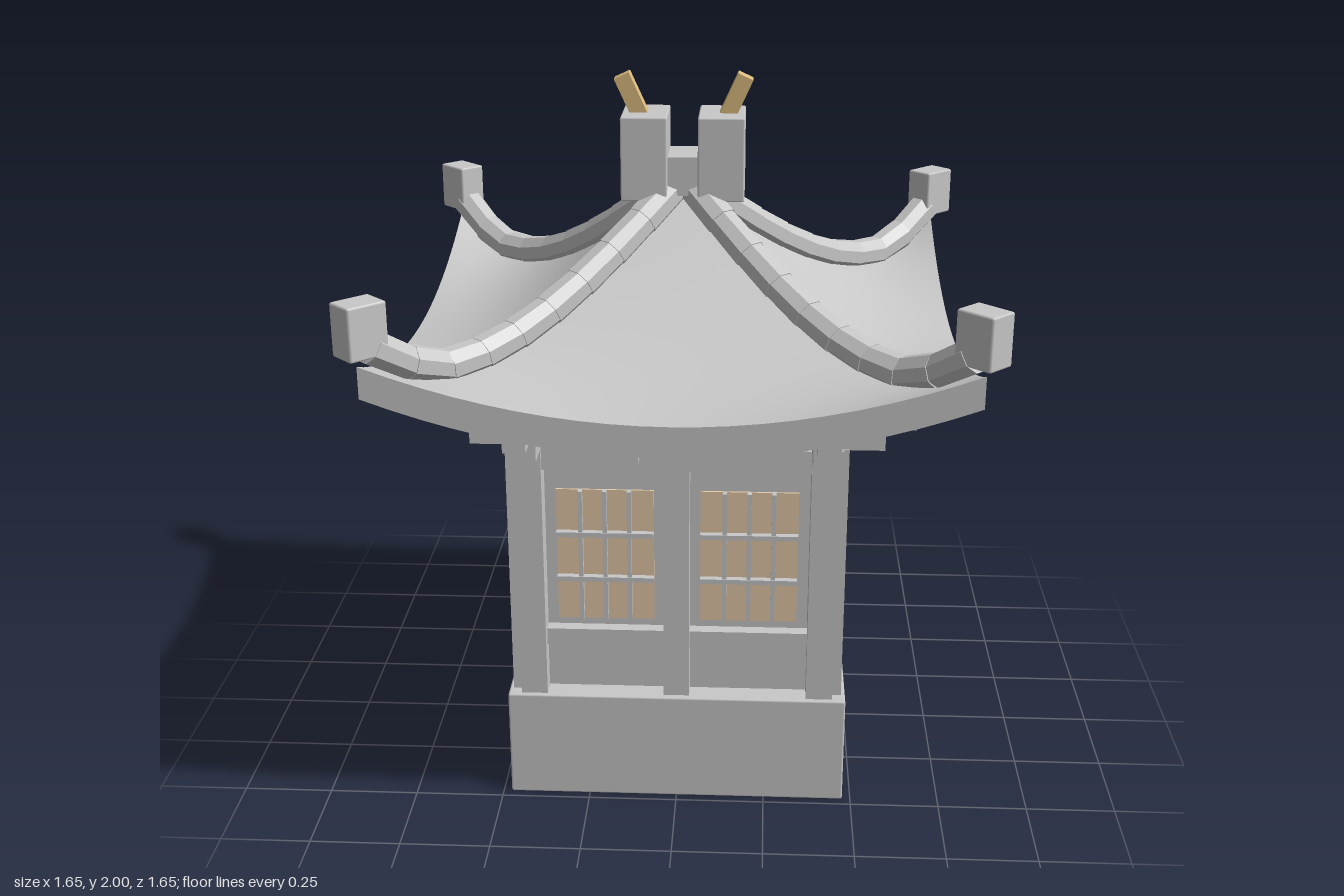
import * as THREE from 'three';
import { RoundedBoxGeometry } from 'three/addons/geometries/RoundedBoxGeometry.js';

const EAVE = 0.77, THICK = 0.085;

// height of the roof surface along a hip, r = distance from the axis in x and in z
const hipY = (r) => 1.69 + r * (-0.867 + 0.733 * (r - 0.3) + 1.143 * (r - 0.3) * (r - 0.5));
// the surface sags between two hips, mostly close to the eave; u runs from -1 to 1
const roofY = (r, u) => hipY(r) - 0.145 * (r / EAVE) ** 5 * (1 - u * u);

// one curved sheet: rule(u, v) gives a point, v runs from 0 (top) to 1 (bottom)
function sheet(nu, nv, rule) {
  const geo = new THREE.PlaneGeometry(2, 1, nu, nv);
  const pos = geo.attributes.position;
  for (let i = 0; i < pos.count; i++) pos.setXYZ(i, ...rule(pos.getX(i), 0.5 - pos.getY(i)));
  geo.computeVertexNormals();
  return geo;
}

export function createModel() {
  const stone = new THREE.MeshStandardMaterial({ name: 'stone', color: 0xc8c8c8 });
  const paper = new THREE.MeshStandardMaterial({ name: 'window paper', color: 0xe4caa8 });
  const gold = new THREE.MeshStandardMaterial({ name: 'gold', color: 0xdcbc7e });

  const model = new THREE.Group();
  model.name = 'pavilion';

  const add = (parent, name, geo, mat) => {
    const mesh = new THREE.Mesh(geo, mat);
    mesh.name = name;
    parent.add(mesh);
    return mesh;
  };
  // box given by its limits
  const box = (parent, name, x0, x1, y0, y1, z0, z1, mat = stone) => {
    const mesh = add(parent, name, new THREE.BoxGeometry(x1 - x0, y1 - y0, z1 - z0), mat);
    mesh.position.set((x0 + x1) / 2, (y0 + y1) / 2, (z0 + z1) / 2);
  };

  // plinth and solid core
  add(model, 'plinth', new RoundedBoxGeometry(0.954, 0.32, 0.954, 1, 0.006), stone).position.y = 0.16;
  box(model, 'core', -0.4, 0.4, 0.32, 1.065, -0.4, 0.4);

  // the four sides are alike
  for (let k = 0; k < 4; k++) {
    const side = new THREE.Group();
    side.name = 'side' + (k + 1);
    side.rotation.y = (k * Math.PI) / 2;
    model.add(side);

    // posts, lintel and rails
    box(side, 'middlePost', -0.036, 0.036, 0.32, 1.065, 0.39, 0.46);
    box(side, 'lintel', -0.445, 0.445, 1.0, 1.067, 0.39, 0.452);
    for (const s of [-1, 1]) {
      const c = s * 0.402;
      box(side, 'cornerPost', c - 0.037, c + 0.037, 0.32, 1.07, 0.38, 0.465);
      const m = s * 0.2;
      box(side, 'sillRail', m - 0.165, m + 0.165, 0.46, 0.51, 0.39, 0.435);
      box(side, 'lowerPanel', m - 0.165, m + 0.165, 0.32, 0.46, 0.39, 0.412);

      // window: paper sheet behind a lattice
      const w = s * 0.199, x0 = w - 0.135, x1 = w + 0.135;
      box(side, 'windowPaper', x0, x1, 0.532, 0.925, 0.399, 0.406, paper);
      for (let i = 1; i < 4; i++) {
        const x = x0 + i * 0.0675;
        box(side, 'latticeUpright', x - 0.006, x + 0.006, 0.532, 0.925, 0.4, 0.422);
      }
      for (const y of [0.661, 0.796]) {
        box(side, 'latticeBar', x0, x1, y - 0.007, y + 0.007, 0.4, 0.425);
      }
    }

    // eave brackets: two tiers of arms with cross pieces
    for (const t of [-0.4, -0.13, 0.13, 0.4]) {
      box(side, 'lowerArm', t - 0.036, t + 0.036, 1.067, 1.148, 0.365, 0.56);
      box(side, 'upperArm', t - 0.03, t + 0.03, 1.148, 1.197, 0.365, 0.7);
      box(side, 'crossPiece', t - 0.095, t + 0.095, 1.15, 1.176, 0.595, 0.635);
    }
    box(side, 'bracketBeam', -0.52, 0.52, 1.146, 1.172, 0.48, 0.52);

    // roof slope, its underside and the eave edge
    const radius = (v) => 0.01 + (EAVE - 0.01) * v;
    add(side, 'roofTop', sheet(20, 20, (u, v) => {
      const r = radius(v);
      return [u * r, roofY(r, u), r];
    }), stone);
    add(side, 'roofUnderside', sheet(20, 20, (u, v) => {
      const r = radius(v);
      return [-u * r, roofY(r, u) - THICK, r];
    }), stone);
    add(side, 'eaveEdge', sheet(20, 1, (u, v) => [u * EAVE, roofY(EAVE, u) - THICK * v, EAVE]), stone);

    // hip ridge: a row of faceted tiles with a block at the tip
    const hip = new THREE.Group();
    hip.name = 'hip';
    hip.rotation.y = Math.PI / 4;
    side.add(hip);
    const at = (r) => new THREE.Vector3(0, hipY(r) + 0.018 + Math.max(0, r - 0.6) * 0.35, r * Math.SQRT2);
    const count = 9;
    for (let i = 0; i < count; i++) {
      const a = at(0.03 + (0.71 * i) / count), b = at(0.03 + (0.71 * (i + 1)) / count);
      const geo = new THREE.CylinderGeometry(0.048, 0.045, a.distanceTo(b) + 0.006, 8)
        .rotateY(Math.PI / 8).toNonIndexed();
      geo.computeVertexNormals();
      const tile = add(hip, 'hipTile', geo, stone);
      tile.position.copy(a).add(b).multiplyScalar(0.5);
      tile.quaternion.setFromUnitVectors(new THREE.Vector3(0, 1, 0), b.clone().sub(a).normalize());
    }
    const tip = add(hip, 'hipEndBlock', new RoundedBoxGeometry(0.084, 0.14, 0.112, 1, 0.006), stone);
    tip.position.set(0, 1.495, 0.759 * Math.SQRT2);
  }

  // crown: joining piece, two blocks and the leaning gold pegs
  box(model, 'crownJoint', -0.045, 0.045, 1.67, 1.777, -0.075, 0.075);
  for (const s of [-1, 1]) {
    add(model, 'crownBlock', new RoundedBoxGeometry(0.128, 0.232, 0.194, 1, 0.005), stone)
      .position.set(s * 0.106, 1.774, 0);
    const peg = add(model, 'crownPeg', new THREE.BoxGeometry(0.045, 0.14, 0.05), gold);
    peg.position.set(s * 0.141, 1.926, 0);
    peg.rotation.z = -s * 0.43;
  }
  return model;
}
